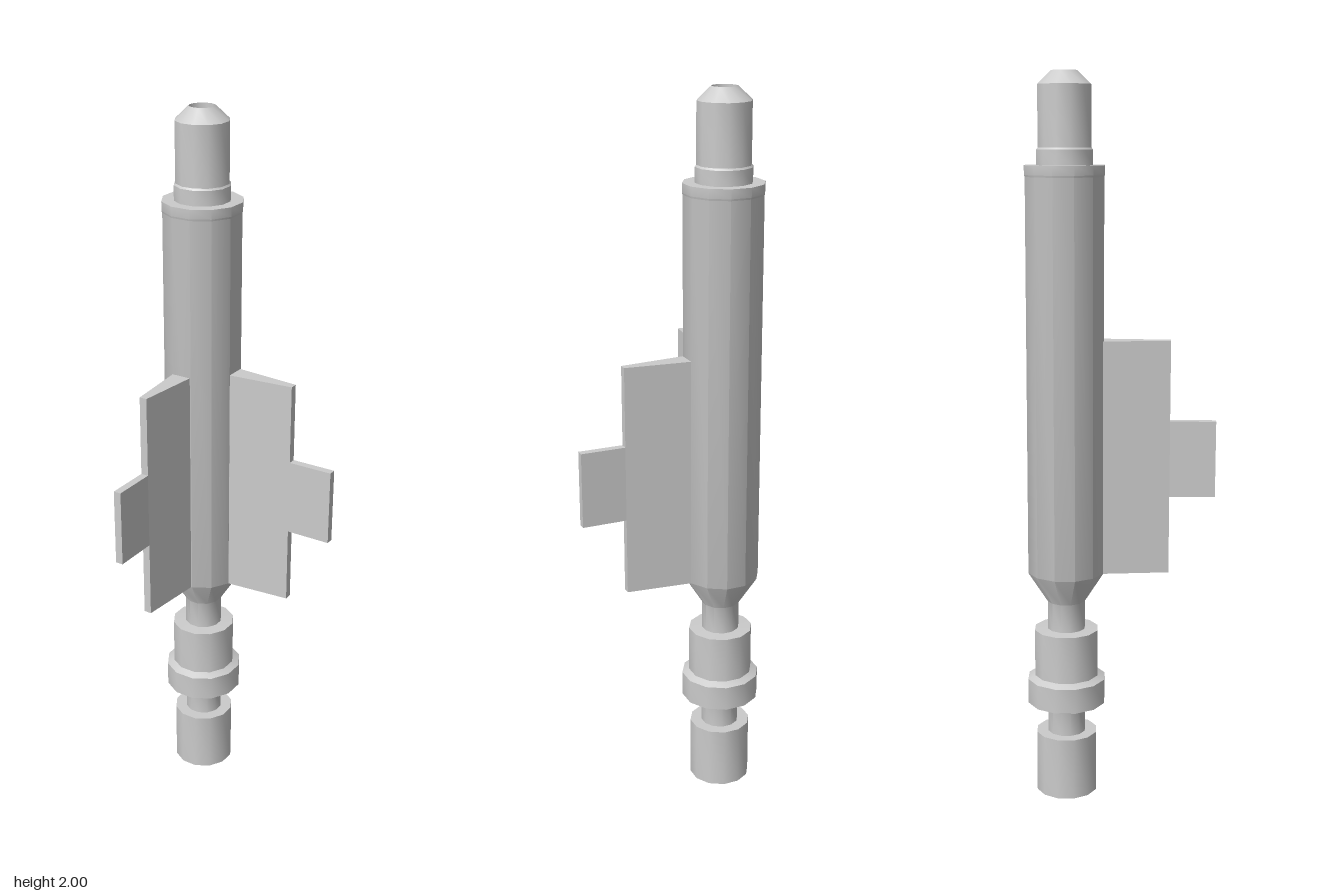
import * as THREE from 'three';
import { toCreasedNormals } from 'three/addons/utils/BufferGeometryUtils.js';

const SIDES = 12;
const material = new THREE.MeshStandardMaterial({ color: 0xcccccc });

// Turned part from [radius, y] points, with sharp steps and smooth sides
function turned(name, points) {
  const profile = points.map(([r, y]) => new THREE.Vector2(r, y));
  const mesh = new THREE.Mesh(toCreasedNormals(new THREE.LatheGeometry(profile, SIDES), 0.6), material);
  mesh.name = name;
  return mesh;
}

// Upright slab with an [x, z] outline between two heights
function slab(name, outline, bottom, top) {
  const shape = new THREE.Shape(outline.map(([x, z]) => new THREE.Vector2(x, -z)));
  const geometry = new THREE.ExtrudeGeometry(shape, { depth: top - bottom, bevelEnabled: false });
  geometry.rotateX(-Math.PI / 2).translate(0, bottom, 0);
  const mesh = new THREE.Mesh(geometry, material);
  mesh.name = name;
  return mesh;
}

export function createModel() {
  const model = new THREE.Group();
  model.name = 'finnedPin';

  // Hollow pin: up the outside from foot to tip
  model.add(turned('pin', [
    [0.05, 0], [0.05, 0.008], [0.086, 0.01], [0.086, 0.185], [0.053, 0.185],
    [0.053, 0.25], [0.062, 0.275], [0.11, 0.275], [0.11, 0.345],
    [0.09, 0.355], [0.09, 0.488], [0.053, 0.49], [0.053, 0.57],
    [0.107, 0.655], [0.107, 1.73], [0.109, 1.735], [0.109, 1.76],
    [0.076, 1.76], [0.076, 1.8], [0.072, 1.805], [0.072, 1.965], [0.035, 2],
  ]));
  // Bore through the middle, from tip down to the wider socket in the foot
  model.add(turned('bore', [[0.035, 2], [0.035, 0.08], [0.05, 0.08], [0.05, 0]]));

  // Two tapering fins with narrower tabs, splayed towards the front
  for (const side of [1, -1]) {
    const label = side > 0 ? 'left' : 'right';
    const shift = side > 0 ? 0 : -0.004;
    const place = (points) => points.map(([x, z]) => [x * side, z + shift]);
    model.add(slab(label + 'Fin',
      place([[0.093, 0.054], [0.209, 0.195], [0.194, 0.21], [0.054, 0.093], [0.05, 0.05]]), 0.655, 1.3));
    model.add(slab(label + 'Tab',
      place([[0.209, 0.195], [0.297, 0.283], [0.282, 0.298], [0.194, 0.21]]), 0.87, 1.08));
  }

  // Pin axis sits towards the back so the whole is centred
  model.position.set(-0.002, 0, -0.095);
  const root = new THREE.Group();
  root.add(model);
  return root;
}
